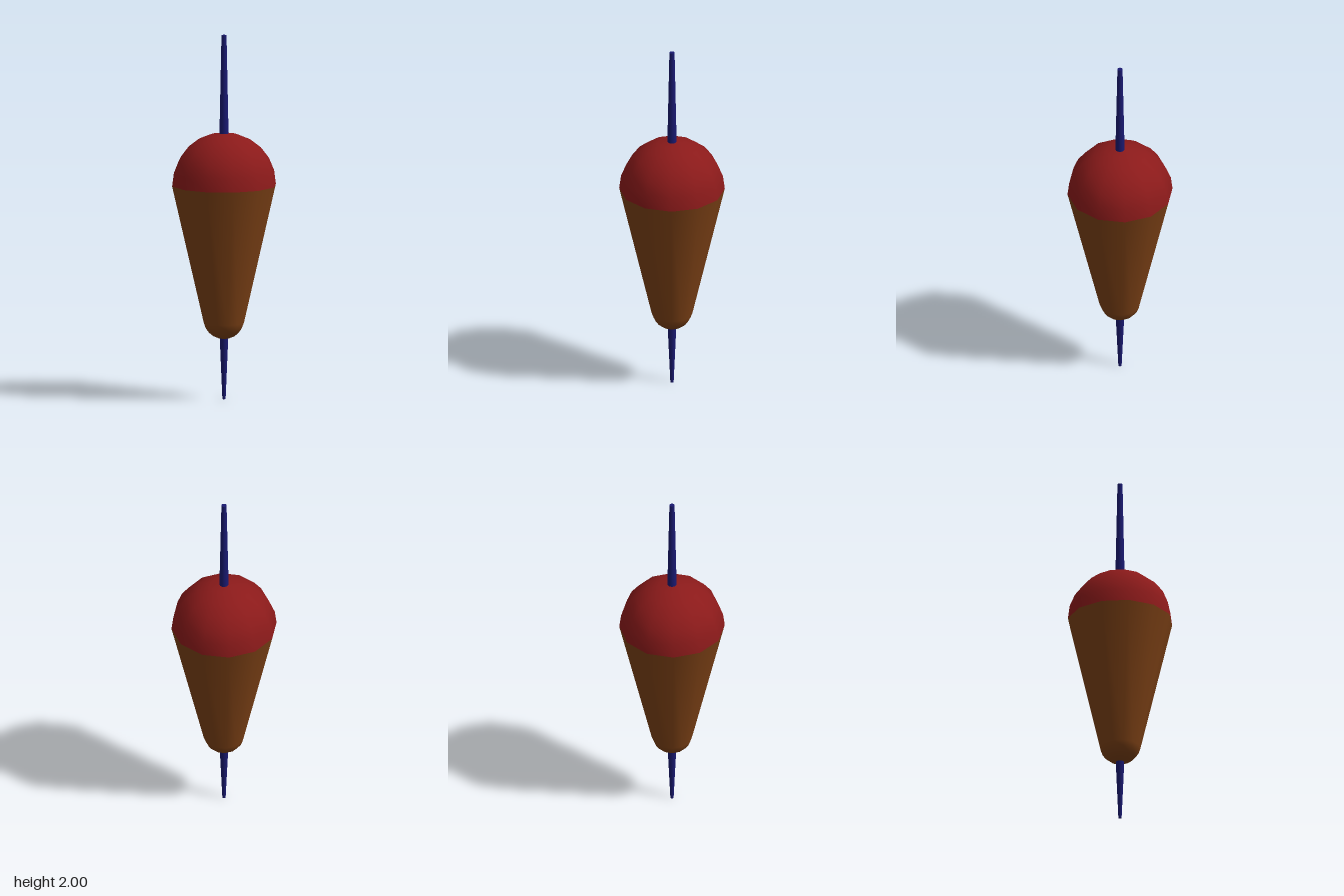
import * as THREE from 'three';

const SIDES = 12;

// Points along a circular arc centred on the axis, angles in degrees above the horizon
function arc(radius, centreY, from, to, steps) {
  return Array.from({ length: steps + 1 }, (_, i) => {
    const a = THREE.MathUtils.degToRad(from + (to - from) * i / steps);
    return new THREE.Vector2(Math.max(0, radius * Math.cos(a)), centreY + radius * Math.sin(a));
  });
}

export function createModel() {
  const model = new THREE.Group();
  model.name = 'fishingFloat';
  const red = new THREE.MeshStandardMaterial({ color: 0x8b1a1a });
  const brown = new THREE.MeshStandardMaterial({ color: 0x7b4015 });
  const blue = new THREE.MeshStandardMaterial({ color: 0x191970 });

  function add(name, geometry, material, y = 0) {
    const mesh = new THREE.Mesh(geometry, material);
    mesh.name = name;
    mesh.position.y = y;
    model.add(mesh);
  }

  // Painted dome
  add('dome', new THREE.LatheGeometry(arc(0.287, 1.176, 0, 90, 6), SIDES), red);

  // Tapered body with a rounded lower tip
  const bodyProfile = [...arc(0.114, 0.445, -90, -13, 5), new THREE.Vector2(0.287, 1.176)];
  add('body', new THREE.LatheGeometry(bodyProfile, SIDES), brown);

  // Antenna above and stem below, both sunk slightly into the body
  function rod(name, bottomRadius, topRadius, bottom, top) {
    const geometry = new THREE.CylinderGeometry(topRadius, bottomRadius, top - bottom, SIDES);
    add(name, geometry, blue, (bottom + top) / 2);
  }
  rod('antenna', 0.026, 0.014, 1.42, 2);
  rod('stem', 0.009, 0.025, 0, 0.37);

  return model;
}
